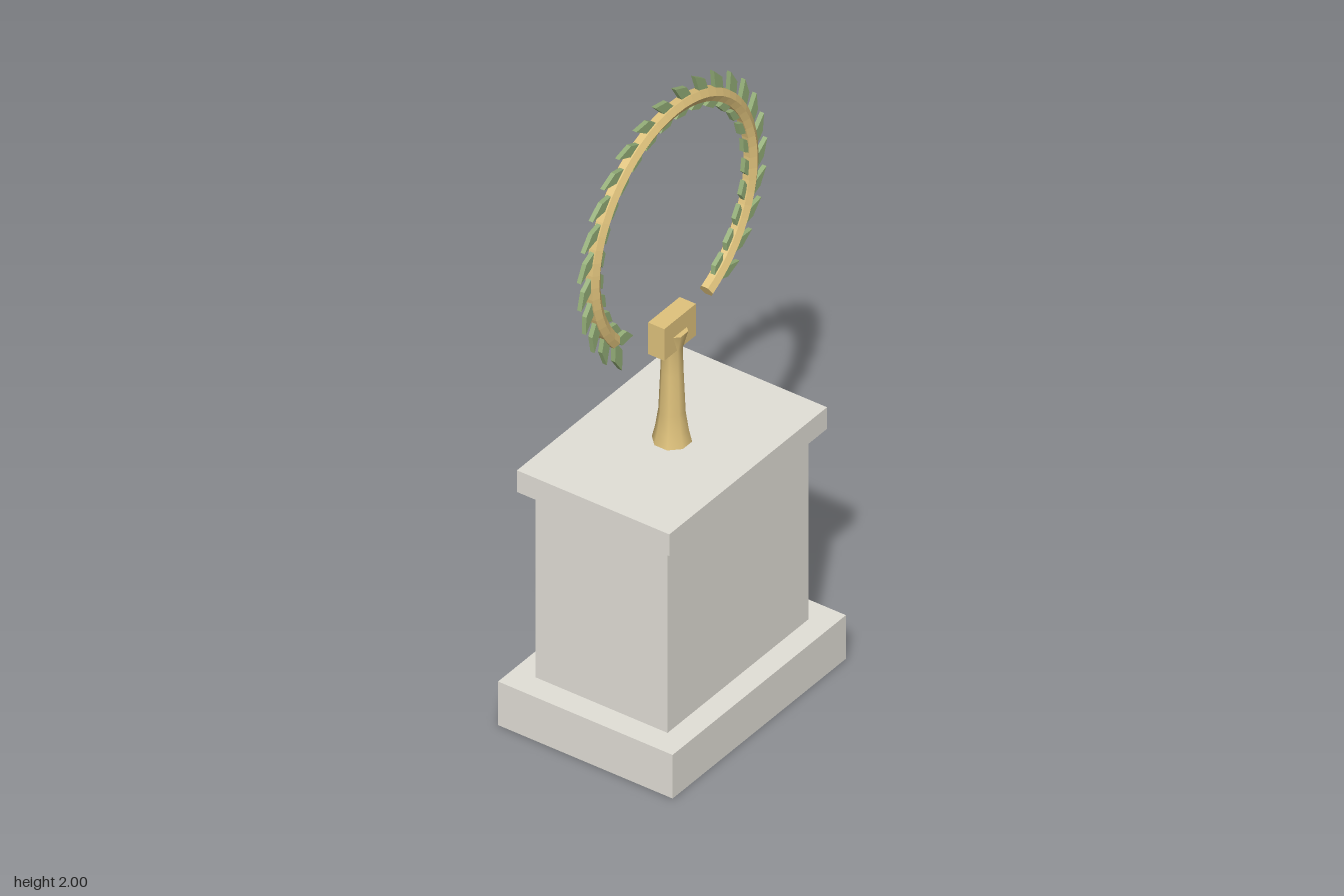
import * as THREE from 'three';

const stone = new THREE.MeshStandardMaterial({ color: 0xe2dfd7 });
stone.name = 'stone';
const gold = new THREE.MeshStandardMaterial({ color: 0xdfc27c });
gold.name = 'gold';
const leafGreen = new THREE.MeshStandardMaterial({ color: 0x94ae78 });
leafGreen.name = 'leaf green';

const CENTRE_Y = 1.57, RING = 0.365, TUBE = 0.022;
const START = -1.12, ARC = 5;

// Arc of the wreath stem, counter-clockwise from lower right to lower left
class StemCurve extends THREE.Curve {
  getPoint(t, target = new THREE.Vector3()) {
    const a = START + ARC * t;
    return target.set(RING * Math.cos(a), RING * Math.sin(a), 0);
  }
}

function add(parent, name, geometry, material) {
  const mesh = new THREE.Mesh(geometry, material);
  mesh.name = name;
  parent.add(mesh);
  return mesh;
}

function block(parent, name, w, d, y0, y1, material) {
  add(parent, name, new THREE.BoxGeometry(w, y1 - y0, d), material).position.y = (y0 + y1) / 2;
}

// Slanted four-cornered leaf from the stem to its tip; x is outward, y runs along the stem
function leafGeometry(tipX, tipY, sideX, sideY) {
  const mx = tipX / 2, my = tipY / 2;
  const corners = [[0, 0], [mx + sideX, my + sideY], [tipX, tipY], [mx - sideX, my - sideY]];
  const shape = new THREE.Shape(corners.map(([x, y]) => new THREE.Vector2(x, y)));
  return new THREE.ExtrudeGeometry(shape, { depth: 0.014, bevelEnabled: false }).translate(0, 0, -0.007);
}

export function createModel() {
  const model = new THREE.Group();
  model.name = 'wreathMonument';

  // Stone pedestal
  const pedestal = new THREE.Group();
  pedestal.name = 'pedestal';
  model.add(pedestal);
  block(pedestal, 'plinth', 0.8, 0.582, 0, 0.145, stone);
  block(pedestal, 'pedestalBody', 0.65, 0.44, 0.145, 0.77, stone);
  block(pedestal, 'pedestalCap', 0.728, 0.508, 0.77, 0.842, stone);

  // Eight-sided flared post and the block on top
  const profile = [[0.056, 0.842], [0.047, 0.88], [0.038, 0.94], [0.0325, 1.07],
    [0.03, 1.15], [0.045, 1.207]].map(([r, y]) => new THREE.Vector2(r, y));
  add(model, 'post', new THREE.LatheGeometry(profile, 8, Math.PI / 8), gold);
  const top = add(model, 'postTop',
    new THREE.CircleGeometry(0.045, 8, Math.PI / 8).rotateX(-Math.PI / 2), gold);
  top.position.y = 1.207;
  block(model, 'mountBlock', 0.146, 0.054, 1.155, 1.26, gold);

  // Wreath with a faceted six-sided stem
  const wreath = new THREE.Group();
  wreath.name = 'wreath';
  wreath.position.y = CENTRE_Y;
  model.add(wreath);
  const curve = new StemCurve();
  const stem = new THREE.TubeGeometry(curve, 48, TUBE, 6).toNonIndexed();
  stem.computeVertexNormals();
  add(wreath, 'stem', stem, gold);

  // Hexagonal end faces of the stem
  for (const t of [0, 1]) {
    const a = START + ARC * t, s = t ? 1 : -1;
    const out = new THREE.Vector3(-Math.sin(a) * s, Math.cos(a) * s, 0);
    const z = new THREE.Vector3(0, 0, 1);
    const basis = new THREE.Matrix4().makeBasis(z, out.clone().cross(z), out);
    const cap = add(wreath, 'stemEnd', new THREE.CircleGeometry(TUBE, 6).applyMatrix4(basis), gold);
    cap.position.copy(curve.getPoint(t));
  }

  // Paired leaves, one outside and one inside the stem
  const outer = leafGeometry(0.054, 0.104, 0.0195, -0.004);
  const inner = leafGeometry(-0.043, 0.074, -0.02, -0.006);
  const count = 24, first = -1.038, last = START + ARC;
  for (let i = 0; i < count; i++) {
    const a = first + (last - first) * i / (count - 1);
    const pair = new THREE.Group();
    pair.name = 'leafPair';
    pair.position.set(RING * Math.cos(a), RING * Math.sin(a), 0);
    pair.rotation.z = a;
    add(pair, 'outerLeaf', outer, leafGreen);
    add(pair, 'innerLeaf', inner, leafGreen);
    wreath.add(pair);
  }
  return model;
}
